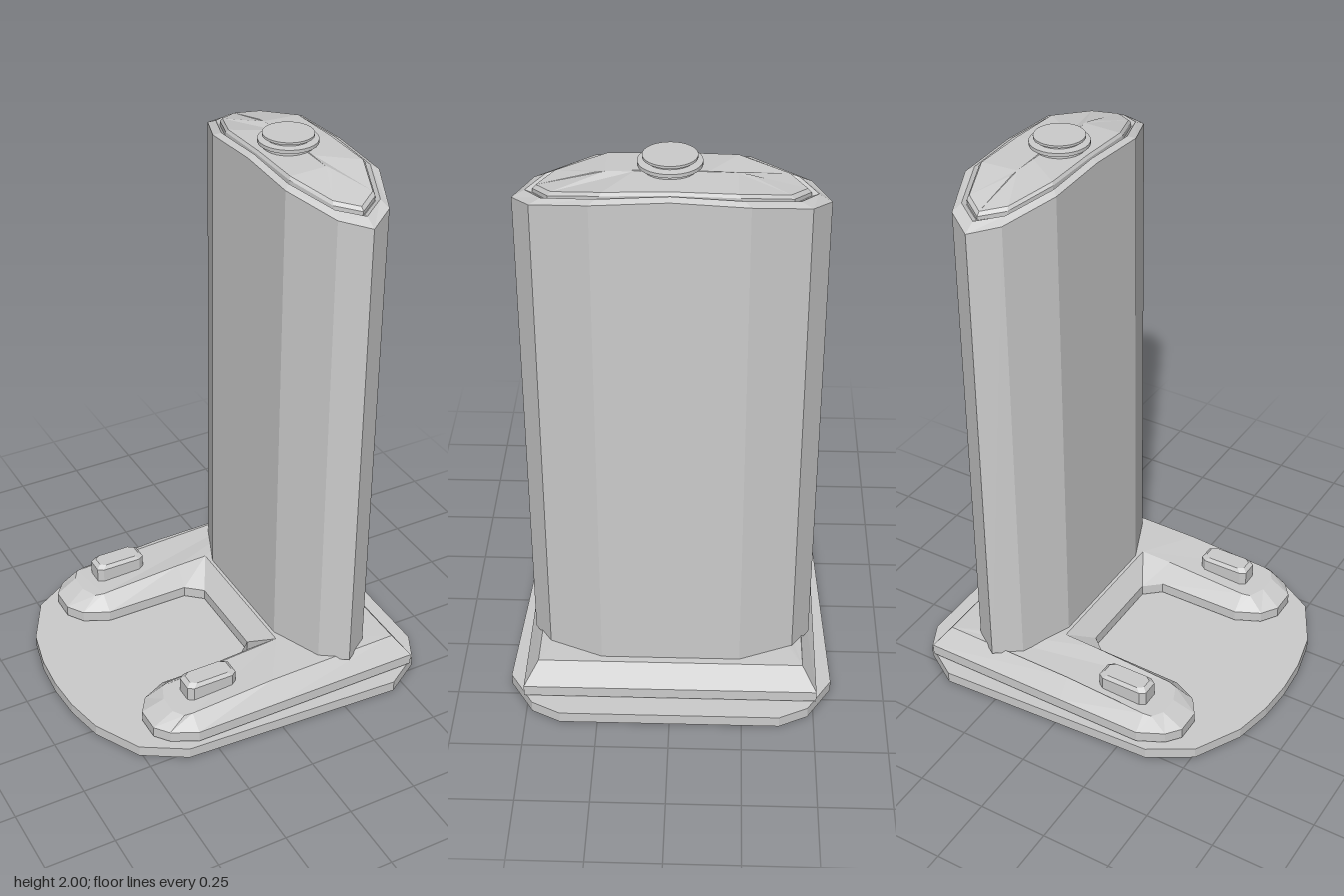
import * as THREE from 'three';

const material = new THREE.MeshStandardMaterial({ color: 0xcccccc, flatShading: true });

// Completes a half outline of [x, z] points by mirroring it across z = 0
const mirrorZ = (half) => [
  ...half,
  ...half.filter((p) => p[1] !== 0).reverse().map(([x, z]) => [x, -z]),
];

// Gives an outline a height, which may be a rule of x and z
const lift = (outline, y) =>
  outline.map(([x, z]) => new THREE.Vector3(x, typeof y === 'function' ? y(x, z) : y, z));

// Closed solid through matching loops listed from bottom to top
function loft(name, loops) {
  const flat = (loop) => loop.map((p) => new THREE.Vector2(p.x, -p.z));
  if (THREE.ShapeUtils.area(flat(loops[0])) < 0) loops = loops.map((l) => [...l].reverse());
  const pos = [];
  const tri = (a, b, c) => pos.push(...a, ...b, ...c);
  for (let k = 0; k < loops.length - 1; k++) {
    const lo = loops[k], hi = loops[k + 1];
    lo.forEach((a, i) => {
      const j = (i + 1) % lo.length;
      tri(a, lo[j], hi[j]);
      tri(a, hi[j], hi[i]);
    });
  }
  const bottom = loops[0], top = loops[loops.length - 1];
  for (const [a, b, c] of THREE.ShapeUtils.triangulateShape(flat(bottom), [])) tri(bottom[c], bottom[b], bottom[a]);
  for (const [a, b, c] of THREE.ShapeUtils.triangulateShape(flat(top), [])) tri(top[a], top[b], top[c]);
  const geometry = new THREE.BufferGeometry();
  geometry.setAttribute('position', new THREE.Float32BufferAttribute(pos, 3));
  geometry.computeVertexNormals();
  const mesh = new THREE.Mesh(geometry, material);
  mesh.name = name;
  return mesh;
}

// Linear interpolation through [t, value] stops
function ramp(stops, t) {
  for (let i = 1; i < stops.length; i++) {
    const [t0, v0] = stops[i - 1], [t1, v1] = stops[i];
    if (t <= t1) return THREE.MathUtils.lerp(v0, v1, THREE.MathUtils.clamp((t - t0) / (t1 - t0), 0, 1));
  }
  return stops[stops.length - 1][1];
}

function createBasePlate() {
  const outline = mirrorZ([
    [0.635, 0.38], [0.585, 0.48], [0.45, 0.565], [-0.36, 0.525],
    [-0.51, 0.435], [-0.6, 0.27], [-0.63, 0.13], [-0.638, 0],
  ]);
  return loft('basePlate', [lift(outline, 0), lift(outline, 0.04)]);
}

// U-shaped plinth with two arms and bevelled edges
function createPlinth() {
  const foot = mirrorZ([
    [0.555, 0.51], [0, 0.51], [-0.315, 0.51], [-0.405, 0.465], [-0.445, 0.415],
    [-0.445, 0.325], [-0.405, 0.265], [-0.315, 0.222], [0, 0.222], [0.06, 0.17],
  ]);
  const deck = mirrorZ([
    [0.5, 0.46], [0, 0.46], [-0.315, 0.46], [-0.345, 0.455], [-0.37, 0.415],
    [-0.37, 0.345], [-0.345, 0.285], [-0.315, 0.277], [0, 0.277], [0.12, 0.277],
  ]);
  const deckHeight = (x) => ramp([[-0.37, 0.13], [0, 0.154], [0.2, 0.16]], x);
  return loft('plinth', [lift(foot, 0.045), lift(foot, 0.085), lift(deck, deckHeight)]);
}

// Ten-sided plan of the column, with middle points for the arched top
function columnOutline(halfWidth, halfDepth) {
  const sx = halfWidth / 0.171, sz = halfDepth / 0.487;
  const side = [[0.171, 0], [0.171, 0.24], [0.093, 0.425], [0, 0.487], [-0.093, 0.425], [-0.171, 0.24], [-0.171, 0]];
  return mirrorZ(side.map(([x, z]) => [0.303 + x * sx, z * sz]));
}

function createColumn() {
  const body = columnOutline(0.171, 0.487);
  const arch = (dy) => (x, z) =>
    ramp([[0, 1.938], [0.24, 1.925], [0.425, 1.885], [0.487, 1.862]], Math.abs(z)) + dy;
  const column = loft('column', [
    lift(body, 0.145),
    lift(body, arch(0)),
    lift(columnOutline(0.15, 0.445), arch(0.01)),
    lift(columnOutline(0.14, 0.425), arch(-0.005)),
  ]);

  // Raised lid, rising to a shallow ridge
  const lid = (dy) => (x, z) =>
    ramp([[0, 1.945], [0.21, 1.94], [0.365, 1.908], [0.42, 1.893]], Math.abs(z)) + dy;
  const cap = loft('lid', [
    lift(columnOutline(0.139, 0.422), lid(-0.03)),
    lift(columnOutline(0.139, 0.422), lid(0)),
    lift(columnOutline(0.133, 0.41), lid(0.01)),
    lift(columnOutline(0.004, 0.23), lid(0.014)),
  ]);
  return [column, cap];
}

// Round stepped knob on top of the column
function createKnob() {
  const profile = [
    [0, 1.93], [0.085, 1.93], [0.085, 1.965], [0.1, 1.969], [0.1, 1.981],
    [0.074, 1.984], [0.074, 1.989], [0.085, 1.992], [0.085, 2], [0, 2],
  ].map(([r, y]) => new THREE.Vector2(r, y));
  const knob = new THREE.Mesh(new THREE.LatheGeometry(profile, 32), material);
  knob.name = 'topKnob';
  knob.position.set(0.276, 0, 0.005);
  return knob;
}

// Small bevelled block on an arm
function createArmBlock(name, z) {
  const outline = (hx, hz) =>
    mirrorZ([[hx, hz - 0.014], [hx - 0.02, hz], [0.02 - hx, hz], [-hx, hz - 0.014]])
      .map(([x, dz]) => [x - 0.205, z + dz]);
  return loft(name, [
    lift(outline(0.095, 0.043), 0.125),
    lift(outline(0.095, 0.043), 0.187),
    lift(outline(0.08, 0.033), 0.2),
  ]);
}

export function createModel() {
  const model = new THREE.Group();
  model.name = 'pillar';
  model.add(
    createBasePlate(),
    createPlinth(),
    ...createColumn(),
    createKnob(),
    createArmBlock('frontArmBlock', 0.363),
    createArmBlock('rearArmBlock', -0.387),
  );
  return model;
}
